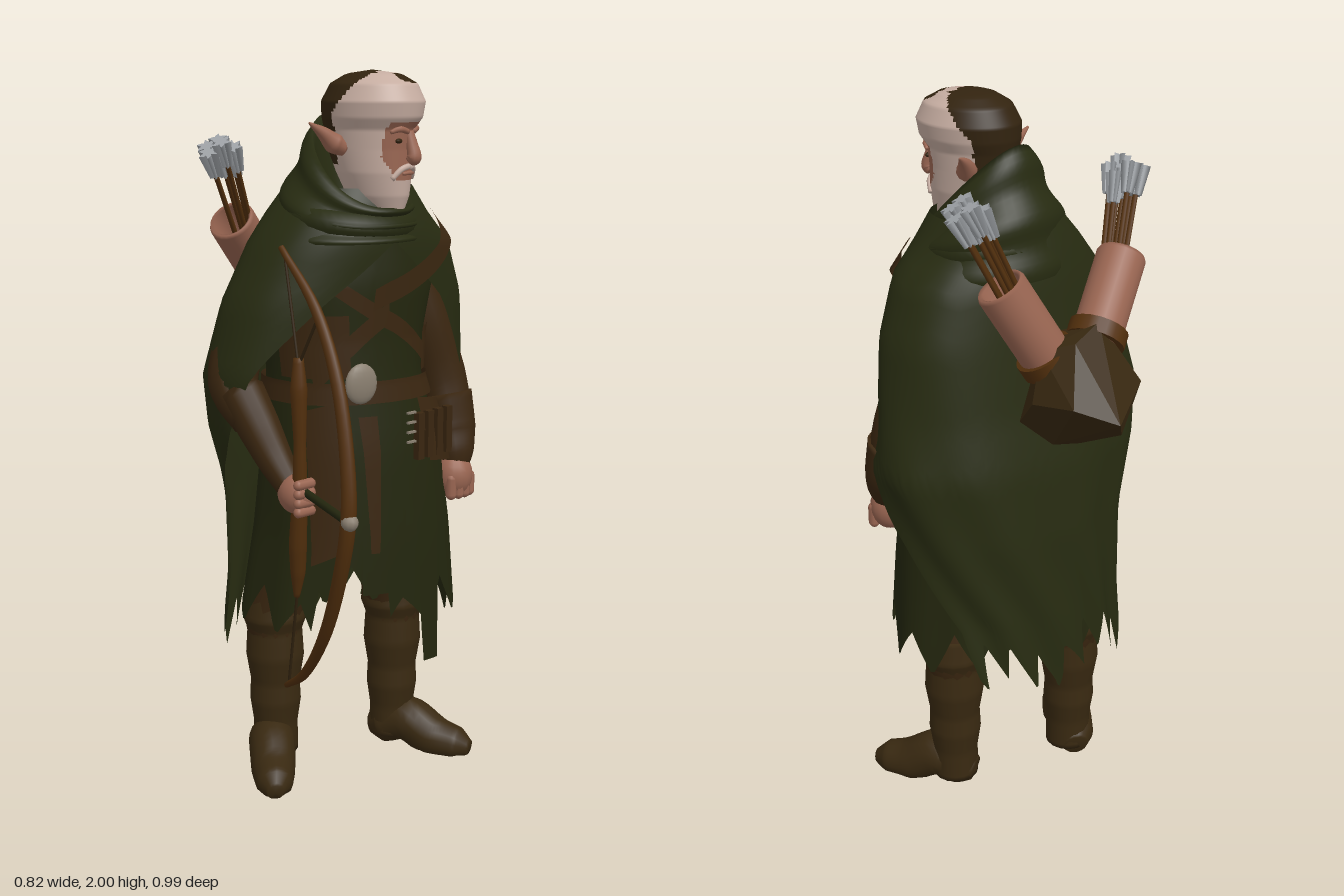
import * as THREE from 'three';
import { mergeVertices } from 'three/addons/utils/BufferGeometryUtils.js';
import { ConvexGeometry } from 'three/addons/geometries/ConvexGeometry.js';

const mat = (name, color) => {
  const m = new THREE.MeshStandardMaterial({ color, side: THREE.DoubleSide });
  m.name = name;
  return m;
};
const V = (x, y, z) => new THREE.Vector3(x, y, z);
const RAD = Math.PI / 180;

// Smooth skin over fn(u, v) -> Vector3; pick(point) chooses a material index per cell
function grid(fn, nu, nv, pick = () => 0) {
  const pos = [], P = [], groups = {};
  for (let j = 0; j <= nv; j++) for (let i = 0; i <= nu; i++) {
    const p = fn(i / nu, j / nv);
    P.push(p);
    pos.push(p.x, p.y, p.z);
  }
  for (let j = 0; j < nv; j++) for (let i = 0; i < nu; i++) {
    const a = j * (nu + 1) + i, b = a + nu + 1;
    const mid = P[a].clone().add(P[b + 1]).multiplyScalar(0.5);
    (groups[pick(mid)] ??= []).push(a, b, a + 1, a + 1, b, b + 1);
  }
  let g = new THREE.BufferGeometry();
  g.setAttribute('position', new THREE.Float32BufferAttribute(pos, 3));
  const index = [];
  for (const k of Object.keys(groups)) {
    g.addGroup(index.length, groups[k].length, +k);
    for (const n of groups[k]) index.push(n);
  }
  g.setIndex(index);
  g = mergeVertices(g, 1e-5);
  g.computeVertexNormals();
  return g;
}

// Cross-section tables: [y, xMin, xMax, zMin, zMax], top to bottom
function row(t, y) {
  let i = 0;
  while (i < t.length - 2 && y < t[i + 1][0]) i++;
  const a = t[i], b = t[i + 1], k = THREE.MathUtils.clamp((a[0] - y) / (a[0] - b[0]), 0, 1);
  return a.map((v, j) => v + (b[j] - v) * k);
}
// Point on a table's surface; shear twists the shoulders, pow below 1 squares the section
function surf(t, th, y, off = 0, shear = 0.18, pow = 0.88) {
  const [, x0, x1, z0, z1] = row(t, y);
  const q = s => Math.sign(s) * Math.abs(s) ** pow;
  const x = (x0 + x1) / 2 + ((x1 - x0) / 2 + off) * q(Math.sin(th));
  return V(x, y, (z0 + z1) / 2 + ((z1 - z0) / 2 + off) * q(Math.cos(th)) + shear * x);
}

// Tapered limb through [x, y, z, radius] points with closed ends
function limb(pts, sides = 14, per = 6) {
  const n = (pts.length - 1) * per;
  const curve = new THREE.CatmullRomCurve3(pts.map(p => V(p[0], p[1], p[2])));
  const C = [], R = [];
  for (let i = 0; i <= n; i++) {
    const k = i / per, a = Math.min(Math.floor(k), pts.length - 2);
    C.push(curve.getPoint(i / n));
    R.push(THREE.MathUtils.lerp(pts[a][3], pts[a + 1][3], k - a));
  }
  const T = C.map((c, i) => C[Math.min(i + 1, n)].clone().sub(C[Math.max(i - 1, 0)]).normalize());
  const ref = Math.abs(T[0].x) < 0.8 ? V(1, 0, 0) : V(0, 1, 0);
  return grid((u, v) => {
    const j = Math.round(v * (n + 2)), i = THREE.MathUtils.clamp(j - 1, 0, n);
    const r = j === 0 || j === n + 2 ? 0 : R[i];
    const B = T[i].clone().cross(ref).normalize(), N = B.clone().cross(T[i]);
    const a = -u * Math.PI * 2;
    return C[i].clone().addScaledVector(N, r * Math.cos(a)).addScaledVector(B, r * Math.sin(a));
  }, sides, n + 2);
}

const TUNIC = [[1.6, -.18, .2, -.12, .16], [1.45, -.22, .25, -.14, .18], [1.3, -.2, .22, -.15, .175], [1.18, -.19, .21, -.15, .18],
  [1, -.2, .27, -.18, .2], [.75, -.21, .31, -.22, .21], [.5, -.24, .34, -.25, .21], [.3, -.25, .36, -.26, .21]];
const CLOAK = [[1.7, -.13, .17, -.13, .17], [1.62, -.2, .22, -.15, .2], [1.55, -.25, .29, -.165, .205], [1.4, -.32, .35, -.185, .195],
  [1.2, -.365, .38, -.215, .185], [1.05, -.34, .41, -.245, .185], [.85, -.28, .38, -.265, .185], [.6, -.265, .345, -.275, .18], [.35, -.29, .365, -.28, .18]];
// Cloak opening angles in degrees: [y, left, right]
const GAP = [[1.56, 0, 0], [1.4, 30, 32], [1.25, 47, 58], [1.05, 70, 82], [.85, 93, 104], [.6, 122, 110], [.4, 138, 112]];
const HEAD = [[2, 0, 0, 0, 0], [1.99, -.06, .06, -.07, .08], [1.965, -.098, .098, -.115, .125], [1.92, -.116, .116, -.14, .147],
  [1.88, -.11, .11, -.14, .14], [1.85, -.096, .096, -.135, .118], [1.8, -.09, .09, -.125, .113], [1.74, -.082, .082, -.1, .113],
  [1.68, -.064, .064, -.07, .108], [1.64, -.04, .04, -.01, .095], [1.62, 0, 0, .05, .05]];

export function createModel() {
  const root = new THREE.Group();
  const M = {
    cloak: mat('cloak green', 0x272b11), tunic: mat('tunic green', 0x23260e), leather: mat('leather brown', 0x3a2610),
    boot: mat('boot brown', 0x392911), wood: mat('bow wood', 0x53300d), skin: mat('skin', 0x9a6652),
    pale: mat('pale hair', 0xc6ada1), grey: mat('feather grey', 0x9da1a5), dark: mat('dark hair', 0x32230f), buckle: mat('buckle', 0x8a7f70),
  };
  const add = (name, geo, m, parent = root) => {
    const mesh = new THREE.Mesh(geo, m);
    mesh.name = name;
    parent.add(mesh);
    return mesh;
  };
  const at = (mesh, x, y, z, sx = 1, sy = 1, sz = 1) => { mesh.position.set(x, y, z); mesh.scale.set(sx, sy, sz); return mesh; };
  const rod = (name, a, b, r, m) => {
    const mesh = add(name, new THREE.CylinderGeometry(r, r, a.distanceTo(b), r > .03 ? 20 : 7), m);
    mesh.position.copy(a).lerp(b, .5);
    mesh.quaternion.setFromUnitVectors(V(0, 1, 0), b.clone().sub(a).normalize());
    return mesh;
  };
  const zig = (k, amp) => amp * Math.abs(((k % 1) + 1) % 1 * 2 - 1);

  // Tunic with ragged skirt
  add('tunic', grid((u, v) => {
    const th = u * Math.PI * 2;
    const rise = u > .86 && u < .98 ? .14 : 0;
    const hem = .45 + zig(u * 12, .12) + rise + .03 * Math.sin(u * Math.PI * 6);
    const y = 1.6 + (hem - 1.6) * v;
    return surf(TUNIC, th, y, .008 * Math.sin(th * 9) * Math.max(0, 1.1 - y));
  }, 132, 26), M.tunic);

  // Cloak, open at the front, with folds and ragged hem
  add('cloak', grid((u, v) => {
    const hem = .4 + zig(u * 9 + .3, .13) + .04 * Math.sin(u * 14);
    const y = 1.7 + (hem - 1.7) * v;
    const [, gl, gr] = row(GAP, y);
    const th = (gl + u * (360 - gl - gr)) * RAD;
    return surf(CLOAK, th, y, .006 * Math.sin(u * 30 + y * 3) * Math.min(1, Math.max(0, 1.6 - y)));
  }, 120, 34), M.cloak);

  // Hood: rises behind the head, drops low at the throat
  add('hood', grid((u, v) => {
    const th = u * Math.PI * 2, back = (1 - Math.cos(th)) / 2;
    const rim = 1.65 + .235 * Math.pow(back, 1.4);
    if (v < .25) {
      const k = v / .25;
      return V(.015 + (.08 + .045 * k) * Math.sin(th), 1.58 + (rim - 1.58) * k, .08 + (.08 + .055 * k) * Math.cos(th));
    }
    const k = (v - .25) / .75, e = Math.sin(k * Math.PI / 2), ripple = .008 * Math.sin(k * 15);
    return V(.015 + (.125 + .09 * e + ripple) * Math.sin(th), rim + (1.56 - rim) * k, .08 - .05 * e + (.135 + .055 * e + ripple) * Math.cos(th));
  }, 48, 28), M.cloak);
  const ring = new THREE.CatmullRomCurve3([...Array(12)].map((_, i) => {
    const a = i * Math.PI / 6;
    return V(.015 + .165 * Math.sin(a), 1.62 - .02 * Math.cos(a), .04 + .145 * Math.cos(a));
  }), true);
  add('hood fold', new THREE.TubeGeometry(ring, 48, .04, 10, true), M.cloak);

  // Plates wrapped on a body table: angle and height ranges
  const wrap = (name, a0, a1, y0, y1, off, m, slant = 0, taper = 0, table = TUNIC) => add(name, grid((u, v) => {
    const mid = (a0 + a1) / 2, a = mid + (a0 - mid + u * (a1 - a0)) * (1 - taper * v);
    return surf(table, a * RAD, y0 + (y1 - y0) * v + slant * (u - .5), off);
  }, 24, 8), m);
  wrap('belt', 0, 360, 1.19, 1.13, .014, M.leather);
  wrap('chest strap', -55, 0, 1.31, 1.25, .014, M.leather, .18);
  wrap('shoulder strap', -8, 58, 1.54, 1.48, .012, M.leather, .2, 0, CLOAK);
  wrap('cross strap', -40, 38, 1.38, 1.33, .012, M.leather, -.22);
  wrap('side leather left', 38, 85, 1.32, 1.2, .008, M.leather);
  wrap('side leather right', -85, -25, 1.37, 1.2, .008, M.leather);
  wrap('front flap', -28, 2, 1.13, .6, .022, M.tunic, 0, .3);
  wrap('front tail', 2, 26, 1.13, .37, .012, M.tunic, 0, .6);
  wrap('hip flap', -62, -32, 1.13, .7, .018, M.leather, .03, .5);
  wrap('under flap', -24, -12, 1.1, .72, .028, M.leather, 0, .6);
  wrap('pouch flap', 18, 62, 1.12, .94, .022, M.leather, -.03);
  for (let i = 0; i < 4; i++) {
    add('pouch strap', new THREE.BoxGeometry(.022, .13, .02), M.leather).position.set(.09 + i * .04, 1.03, .235 - i * .004);
    add('pouch pin', new THREE.BoxGeometry(.03, .006, .008), M.buckle).position.set(.055, 1.02 + i * .027, .24);
  }
  at(add('buckle', new THREE.SphereGeometry(.048, 16, 10), M.buckle), -.08, 1.19, .185, 1, 1.15, .35).rotation.y = -.25;

  // Legs and boots
  const leg = (side, x, z, hx, hz, tx, tz, kx) => {
    add(side + 'Trousers', limb([[kx, .85, -.02, .09], [kx + (x - kx) * .5, .65, z * .7, .09], [x, .47, z, .088], [x, .4, z, .078]]), M.leather);
    add(side + 'BootShaft', limb([[x, .53, z, .084], [x, .46, z, .094], [x, .42, z, .08], [x, .34, z, .085], [x, .26, z, .072],
      [x, .2, z, .075], [x, .13, z, .065], [x, .04, z, .066]], 16), M.boot);
    const L = (k, y, r) => [hx + (tx - hx) * k, y, hz + (tz - hz) * k, r];
    const foot = limb([L(-.03, .05, .035), L(.1, .06, .062), L(.35, .085, .068), L(.65, .04, .064), L(.9, .028, .052), L(1.04, .022, .022)], 16);
    const p = foot.attributes.position;
    for (let i = 0; i < p.count; i++) p.setY(i, Math.max(p.getY(i), .003));
    foot.computeVertexNormals();
    add(side + 'BootFoot', foot, M.boot);
  };
  leg('left', .235, -.015, .21, -.06, .335, .205, .14);
  leg('right', -.11, -.15, -.09, -.2, -.27, .04, -.07);

  // Arms and fists
  add('rightSleeve', limb([[-.19, 1.5, -.05, .07], [-.25, 1.33, -.09, .075], [-.302, 1.18, -.08, .068], [-.31, 1.1, .01, .057]]), M.leather);
  add('rightBracer', limb([[-.304, 1.16, -.04, .064], [-.31, 1.08, .04, .058], [-.322, 1.01, .12, .048], [-.328, .95, .19, .036]]), M.leather);
  add('leftSleeve', limb([[.2, 1.48, .05, .07], [.25, 1.32, .08, .075], [.3, 1.16, .1, .076], [.31, 1.05, .13, .07]]), M.leather);
  add('leftBracer', limb([[.31, 1.1, .12, .075], [.31, 1, .145, .07], [.298, .94, .17, .056], [.29, .9, .18, .04]]), M.leather);
  at(add('leftHand', new THREE.SphereGeometry(.058, 16, 12), M.skin), .285, .875, .18, .95, 1.15, .95);
  at(add('rightHand', new THREE.SphereGeometry(.05, 16, 12), M.skin), -.328, .94, .21, .9, 1.05, 1.1);
  for (let i = 0; i < 4; i++) {
    const lf = add('leftFinger', new THREE.CapsuleGeometry(.016, .045, 4, 8), M.skin);
    lf.position.set(.25 + i * .024, .85, .215 - Math.abs(i - 1.5) * .006);
    const rf = add('rightFinger', new THREE.CapsuleGeometry(.014, .04, 4, 8), M.skin);
    rf.position.set(-.335, .975 - i * .024, .25);
    rf.rotation.z = Math.PI / 2;
  }

  // Head, turned toward the model's left
  const head = new THREE.Group();
  head.name = 'head';
  head.position.set(.01, 0, .125);
  head.rotation.y = .27;
  root.add(head);
  add('skull, beard and face', grid((u, v) => surf(HEAD, u * Math.PI * 2, 2 - .38 * v, 0, 0, 1), 96, 90, p => {
    if (p.z < Math.max(-.06, .03 - (1.99 - p.y) * .9) && p.y > 1.76) return 1;
    if (p.y > 1.95 && Math.hypot((p.x - .012) / .038, (p.z - .094) / .028) < 1) return 1;
    if (p.z > .04 && Math.abs(p.x) < .068 - Math.max(0, 1.78 - p.y) * .5 && p.y > 1.72 && p.y < 1.868) return 2;
    return 0;
  }), [M.pale, M.dark, M.skin], head);
  add('nose', limb([[0, 1.845, .112, .012], [0, 1.81, .122, .016], [0, 1.78, .128, .02], [0, 1.77, .118, .016]], 10), M.skin, head);
  add('lips', limb([[-.025, 1.738, .11, .004], [0, 1.74, .116, .006], [.025, 1.738, .11, .004]], 8), M.skin, head);
  for (const s of [-1, 1]) {
    add('moustache', limb([[s * .004, 1.757, .115, .008], [s * .028, 1.75, .108, .008], [s * .05, 1.725, .092, .007]], 8), M.pale, head);
    at(add('eye', new THREE.SphereGeometry(.013, 10, 8), M.dark, head), s * .036, 1.822, .104, 1.2, .5, .5);
    add('brow', limb([[s * .014, 1.845, .118, .007], [s * .04, 1.852, .11, .009], [s * .062, 1.844, .094, .005]], 8), M.skin, head);
    add('ear', limb([[s * .08, 1.8, -.035, .02], [s * .105, 1.815, -.05, .028], [s * .135, 1.84, -.062, .018], [s * .182, 1.868, -.075, .003]], 10), M.skin, head);
  }

  // Back pack that holds the quivers
  const bag = [[.11, 1.28, -.495], [.05, 1.22, -.45], [-.07, 1.32, -.41], [-.08, 1.4, -.3], [.19, 1.32, -.41], [.2, 1.3, -.28], [.16, 1.43, -.27],
    [.02, 1.49, -.34], [.12, 1.46, -.35], [.05, 1.15, -.31], [.12, 1.16, -.28], [-.06, 1.2, -.25], [0, 1.18, -.18], [.14, 1.2, -.18], [.05, 1.42, -.18]];
  add('pack', new ConvexGeometry(bag.map(p => V(...p))), M.boot);

  // Quivers with arrows
  const quiver = (side, base, top, tip) => {
    const len = base.distanceTo(top), r = .066;
    const tube = add(side + 'Quiver', new THREE.LatheGeometry([[0, 0], [r * .9, 0], [r, .03], [r, len - .01], [r - .005, len], [r - .014, len - .005], [r - .014, .06], [0, .06]]
      .map(p => new THREE.Vector2(...p)), 24), M.skin);
    tube.position.copy(base);
    tube.quaternion.setFromUnitVectors(V(0, 1, 0), top.clone().sub(base).normalize());
    rod(side + 'QuiverBand', base, base.clone().lerp(top, .16), r + .012, M.wood);
    for (let i = 0; i < 7; i++) {
      const a = i * Math.PI / 3, k = i === 6 ? 0 : 1;
      const d = V(Math.cos(a) * k, (i % 3 - 1) * .4, Math.sin(a) * k);
      const from = base.clone().lerp(top, .5).addScaledVector(d, .025), to = tip.clone().addScaledVector(d, .036);
      const shaft = rod(side + 'Arrow', from, to, .007, M.wood);
      for (let f = 0; f < 3; f++) {
        const fin = add(side + 'Feather', new THREE.CylinderGeometry(.03, .018, .08, 5), M.grey);
        fin.position.copy(to);
        fin.quaternion.copy(shaft.quaternion);
        fin.rotateY(f * Math.PI / 3 + i);
        fin.scale.set(1, 1, .3);
      }
    }
  };
  quiver('left', V(.11, 1.38, -.26), V(.225, 1.6, -.19), V(.29, 1.77, -.165));
  quiver('right', V(0, 1.42, -.31), V(-.17, 1.6, -.25), V(-.24, 1.77, -.19));

  // Bow: outer arc, inner grip limb, strings and rest
  add('bow arc', limb([[-.335, 1.57, .165, .008], [-.342, 1.43, .305, .014], [-.36, 1.26, .405, .017], [-.378, 1.05, .462, .019], [-.385, .93, .47, .02],
    [-.378, .79, .435, .019], [-.35, .6, .345, .017], [-.31, .44, .215, .013], [-.27, .36, .095, .008]], 10), M.wood);
  add('bow grip', limb([[-.34, 1.3, .235, .013], [-.342, 1.22, .238, .022], [-.338, 1.08, .236, .016], [-.33, .94, .225, .02], [-.32, .8, .205, .024], [-.312, .72, .195, .02], [-.308, .65, .185, .008]], 10), M.wood);
  rod('upper string', V(-.335, 1.55, .18), V(-.34, 1.28, .235), .004, M.dark);
  rod('upper stay', V(-.345, 1.41, .315), V(-.34, 1.28, .235), .004, M.dark);
  rod('lower string', V(-.308, .66, .187), V(-.275, .37, .11), .004, M.dark);
  rod('bow rest', V(-.33, .955, .24), V(-.385, .935, .47), .011, M.tunic);
  at(add('bow knob', new THREE.SphereGeometry(.022, 10, 8), M.buckle), -.387, .935, .478);

  return root;
}
